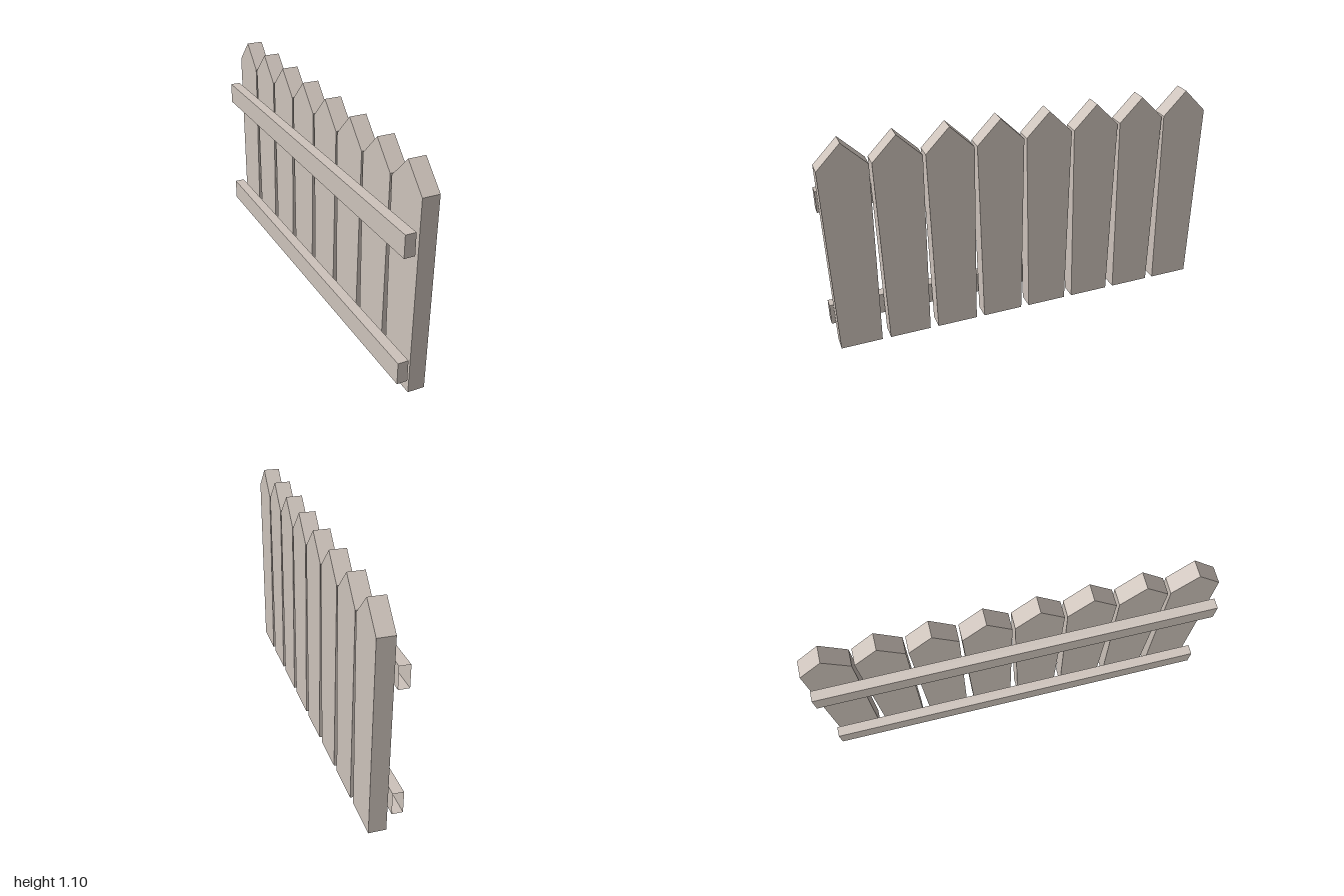
import * as THREE from 'three';

// Drop every triangle whose three corners satisfy the test, leaving that side open
function openSide(geometry, test) {
  const source = geometry.index ? geometry.toNonIndexed() : geometry;
  const p = source.attributes.position;
  const kept = [];
  for (let i = 0; i < p.count; i += 3) {
    if ([i, i + 1, i + 2].every((k) => test(p.getY(k), p.getZ(k)))) continue;
    for (let k = i; k < i + 3; k++) kept.push(p.getX(k), p.getY(k), p.getZ(k));
  }
  const result = new THREE.BufferGeometry();
  result.setAttribute('position', new THREE.Float32BufferAttribute(kept, 3));
  result.computeVertexNormals();
  return result;
}

// Pointed board, narrower at the foot, hollow from below
function picketGeometry() {
  const shape = new THREE.Shape();
  shape.moveTo(-0.104, 0);
  shape.lineTo(0.104, 0);
  shape.lineTo(0.119, 0.975);
  shape.lineTo(0, 1.096);
  shape.lineTo(-0.119, 0.975);
  shape.closePath();
  const board = new THREE.ExtrudeGeometry(shape, { depth: 0.084, bevelEnabled: false });
  board.rotateY(Math.PI / 2);
  return openSide(board, (y) => Math.abs(y) < 1e-5);
}

// Long bar, closed at the front end and open at the back end
function railGeometry() {
  const bar = new THREE.BoxGeometry(0.052, 0.11, 1.992);
  return openSide(bar, (y, z) => z < -0.99);
}

export function createModel() {
  const fence = new THREE.Group();
  fence.name = 'picketFence';

  const wood = new THREE.MeshStandardMaterial({ color: 0xcdc3bb });
  wood.name = 'paleWood';
  wood.side = THREE.DoubleSide;

  // Row of eight pickets
  const picket = picketGeometry();
  for (let i = 0; i < 8; i++) {
    const mesh = new THREE.Mesh(picket, wood);
    mesh.name = `picket${i + 1}`;
    mesh.position.set(-0.006, 0, 0.876 - i * 0.2511);
    fence.add(mesh);
  }

  // Two rails behind the pickets
  const rail = railGeometry();
  for (const [name, y] of [['lowerRail', 0.141], ['upperRail', 0.775]]) {
    const mesh = new THREE.Mesh(rail, wood);
    mesh.name = name;
    mesh.position.set(-0.052, y, 0.004);
    fence.add(mesh);
  }

  return fence;
}
